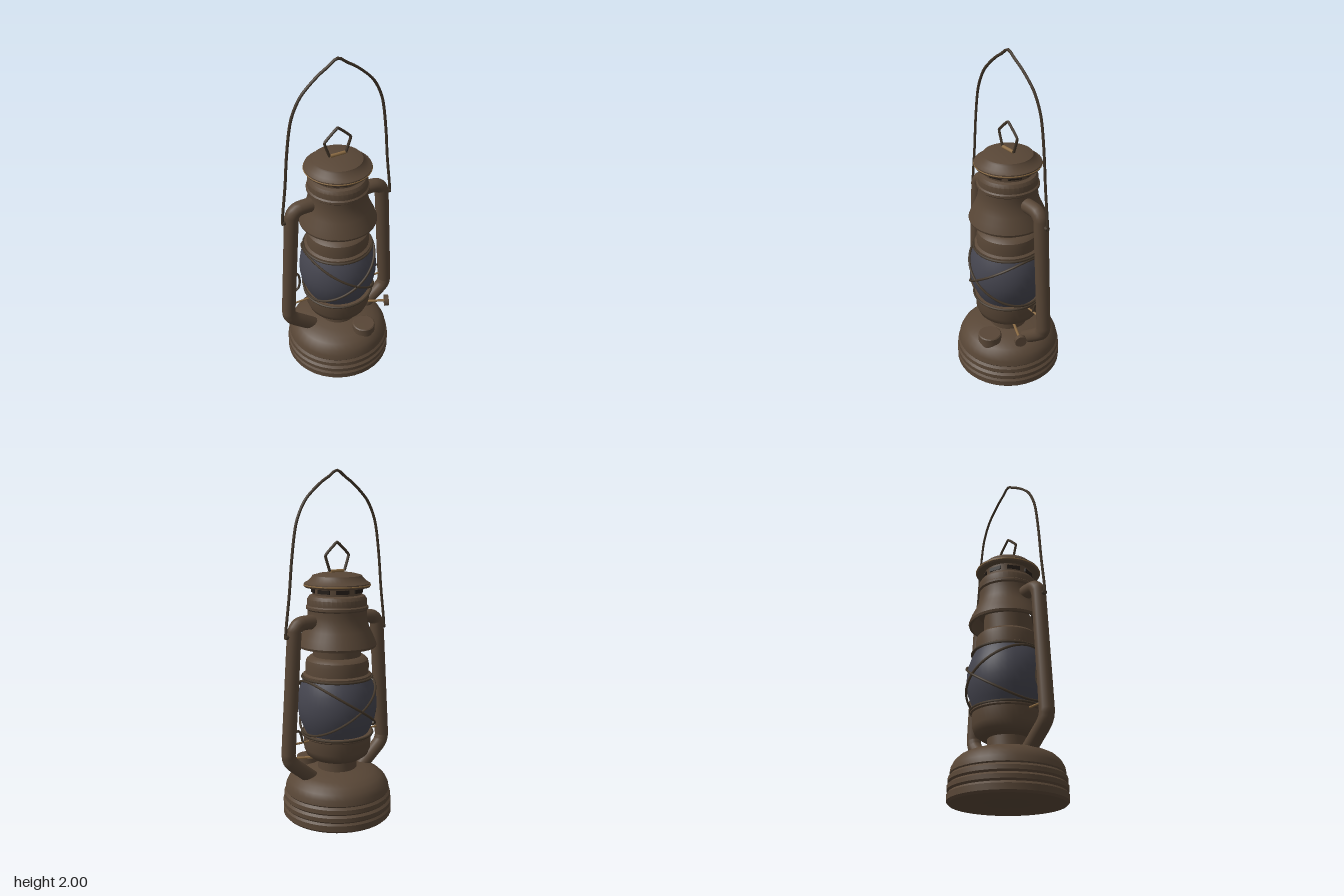
import * as THREE from 'three';
import { toCreasedNormals } from 'three/addons/utils/BufferGeometryUtils.js';

const paint = (name, color) => {
  const m = new THREE.MeshStandardMaterial({ color });
  m.name = name;
  return m;
};

export function createModel() {
  const group = new THREE.Group();
  const brown = paint('aged brown metal', 0x584636);
  const dark = paint('dark wire', 0x43372a);
  const brass = paint('worn brass', 0x8a6a42);
  const glass = paint('smoky glass', 0x45454f);
  const black = paint('vent shadow', 0x231c17);

  const add = (name, geometry, material, x = 0, y = 0, z = 0) => {
    const mesh = new THREE.Mesh(geometry, material);
    mesh.name = name;
    mesh.position.set(x, y, z);
    group.add(mesh);
    return mesh;
  };
  const v2 = (list) => list.map(([x, y]) => new THREE.Vector2(x, y));
  const v3 = (list) => list.map(([x, y, z = 0]) => new THREE.Vector3(x, y, z));
  const lathe = (name, profile, material) =>
    add(name, toCreasedNormals(new THREE.LatheGeometry(v2(profile), 40), 0.6), material);
  const tube = (name, points, radius, material, { steps = 48, sides = 6, closed = false, tension = 0.5 } = {}) =>
    add(name, new THREE.TubeGeometry(
      new THREE.CatmullRomCurve3(v3(points), closed, 'catmullrom', tension), steps, radius, sides, closed), material);
  const rod = (name, a, b, radius, material, sides = 10) => {
    const [p, q] = v3([a, b]);
    const dir = q.clone().sub(p);
    const mesh = add(name, new THREE.CylinderGeometry(radius, radius, dir.length(), sides), material);
    mesh.position.copy(p).add(q).multiplyScalar(0.5);
    mesh.quaternion.setFromUnitVectors(new THREE.Vector3(0, 1, 0), dir.normalize());
    return mesh;
  };
  const ring = (name, radius, y, thickness, material) => {
    const mesh = add(name, new THREE.TorusGeometry(radius, thickness, 6, 40), material, 0, y);
    mesh.rotation.x = Math.PI / 2;
  };

  // Fuel tank with pressed ridges, domed shoulder and neck
  lathe('fuelTank', [
    [0, 0.005], [0.3, 0.005], [0.31, 0], [0.321, 0.012], [0.321, 0.045], [0.312, 0.057],
    [0.321, 0.067], [0.321, 0.09], [0.308, 0.102], [0.317, 0.112], [0.315, 0.135], [0.303, 0.148],
    [0.308, 0.155], [0.303, 0.185], [0.288, 0.215], [0.26, 0.243], [0.22, 0.262], [0.17, 0.276],
    [0.115, 0.285], [0.112, 0.36],
  ], brown);

  // Burner bowl under the globe
  lathe('burnerBowl', [
    [0.11, 0.345], [0.15, 0.35], [0.18, 0.372], [0.195, 0.41], [0.198, 0.48],
    [0.207, 0.487], [0.207, 0.503], [0.17, 0.505],
  ], brown);

  // Glass globe
  lathe('globe', [
    [0.178, 0.495], [0.2, 0.54], [0.221, 0.595], [0.23, 0.65], [0.23, 0.7],
    [0.222, 0.755], [0.205, 0.805], [0.185, 0.845],
  ], glass);

  // Globe collar, inner chimney, flared hood and vented crown
  lathe('globeCollar', [
    [0.17, 0.83], [0.198, 0.835], [0.198, 0.85], [0.183, 0.858], [0.183, 0.91], [0.178, 0.935],
    [0.16, 0.952], [0.138, 0.957], [0.138, 1.06],
  ], brown);
  lathe('hood', [
    [0.135, 1.09], [0.17, 1.08], [0.2, 1.04], [0.21, 1.01], [0.223, 1.012], [0.227, 1.025],
    [0.212, 1.065], [0.19, 1.11], [0.175, 1.15], [0.169, 1.19], [0.169, 1.222], [0.178, 1.23],
    [0.178, 1.243], [0.17, 1.25], [0.17, 1.285], [0.158, 1.303], [0.14, 1.31], [0.14, 1.365],
  ], brown);
  lathe('cap', [
    [0.13, 1.36], [0.185, 1.352], [0.19, 1.36], [0.188, 1.374], [0.168, 1.385],
    [0.145, 1.408], [0.14, 1.417], [0.1, 1.428], [0.05, 1.434], [0, 1.435],
  ], brown);
  ring('capRim', 0.188, 1.364, 0.004, brass);
  for (let i = 0; i < 8; i++) {
    const a = ((i + 0.5) / 8) * Math.PI * 2;
    const vent = add('ventSlot', new THREE.BoxGeometry(0.075, 0.022, 0.008), black,
      Math.sin(a) * 0.139, 1.333, Math.cos(a) * 0.139);
    vent.rotation.y = a;
  }

  // Lifting loop on the cap
  tube('capLoop', [[-0.05, 1.44], [-0.08, 1.53], [0, 1.602], [0.08, 1.53], [0.05, 1.44]],
    0.008, dark, { tension: 0.1 });
  rod('capLoopBar', [-0.045, 1.44], [0.045, 1.44], 0.01, brass);

  // Guard wires: two rings and two crossed hoops hugging the globe
  ring('upperGuardRing', 0.203, 0.835, 0.007, dark);
  ring('lowerGuardRing', 0.207, 0.5, 0.007, dark);
  for (const s of [-1, 1]) {
    const hoop = [];
    for (let i = 0; i < 24; i++) {
      const a = (i / 24) * Math.PI * 2;
      const rise = Math.cos(a) * s;
      const r = 0.239 - 0.033 * rise * rise;
      hoop.push([Math.cos(a) * r, 0.67 + 0.155 * rise, Math.sin(a) * r]);
    }
    tube('crossedGuardWire', hoop, 0.007, dark, { steps: 72, closed: true });
  }

  // Side air tubes and bail pivots, mirrored
  for (const s of [-1, 1]) {
    tube('sideTube', [
      [0.13, 1.165], [0.22, 1.165], [0.258, 1.158], [0.283, 1.132], [0.291, 1.09],
      [0.314, 0.76], [0.335, 0.45], [0.335, 0.405], [0.316, 0.365], [0.25, 0.308], [0.16, 0.235],
    ].map(([x, y]) => [x * s, y]), 0.041, brown, { steps: 64, sides: 16 });
    rod('bailPivot', [0.28 * s, 1.095], [0.348 * s, 1.095], 0.013, dark);
    rod('crossRod', [0.18 * s, 0.475], [0.32 * s, 0.475], 0.006, brass);
  }

  // Carrying bail
  const half = [[0.343, 1.085], [0.343, 1.13], [0.318, 1.33], [0.302, 1.5], [0.28, 1.66], [0.257, 1.745],
    [0.215, 1.825], [0.165, 1.878], [0.105, 1.927], [0.055, 1.958]];
  tube('bail', [...half.map(([x, y]) => [-x, y]), [0, 1.992], ...half.slice().reverse()],
    0.008, dark, { steps: 90 });

  // Globe lift lever and latch loop
  tube('liftLever', [[0.24, 0.475], [0.255, 0.53], [0.272, 0.55], [0.285, 0.545]], 0.007, dark, { steps: 16 });
  tube('latchLoop', [[-0.29, 0.7], [-0.265, 0.69], [-0.256, 0.64], [-0.265, 0.59], [-0.3, 0.565]],
    0.007, dark, { steps: 24 });

  // Filler cap on the tank shoulder
  const filler = toCreasedNormals(new THREE.LatheGeometry(v2([
    [0.055, 0.21], [0.057, 0.255], [0.069, 0.262], [0.069, 0.305], [0.063, 0.31], [0, 0.31],
  ]), 20), 0.6);
  add('fillerCap', filler, brown, 0.076, 0, 0.198);

  // Wick adjuster
  rod('wickRod', [0.08, 0.347, 0.035], [0.275, 0.347, 0.123], 0.008, brass);
  rod('wickKnob', [0.269, 0.347, 0.121], [0.292, 0.347, 0.131], 0.035, brown, 18);

  return group;
}
